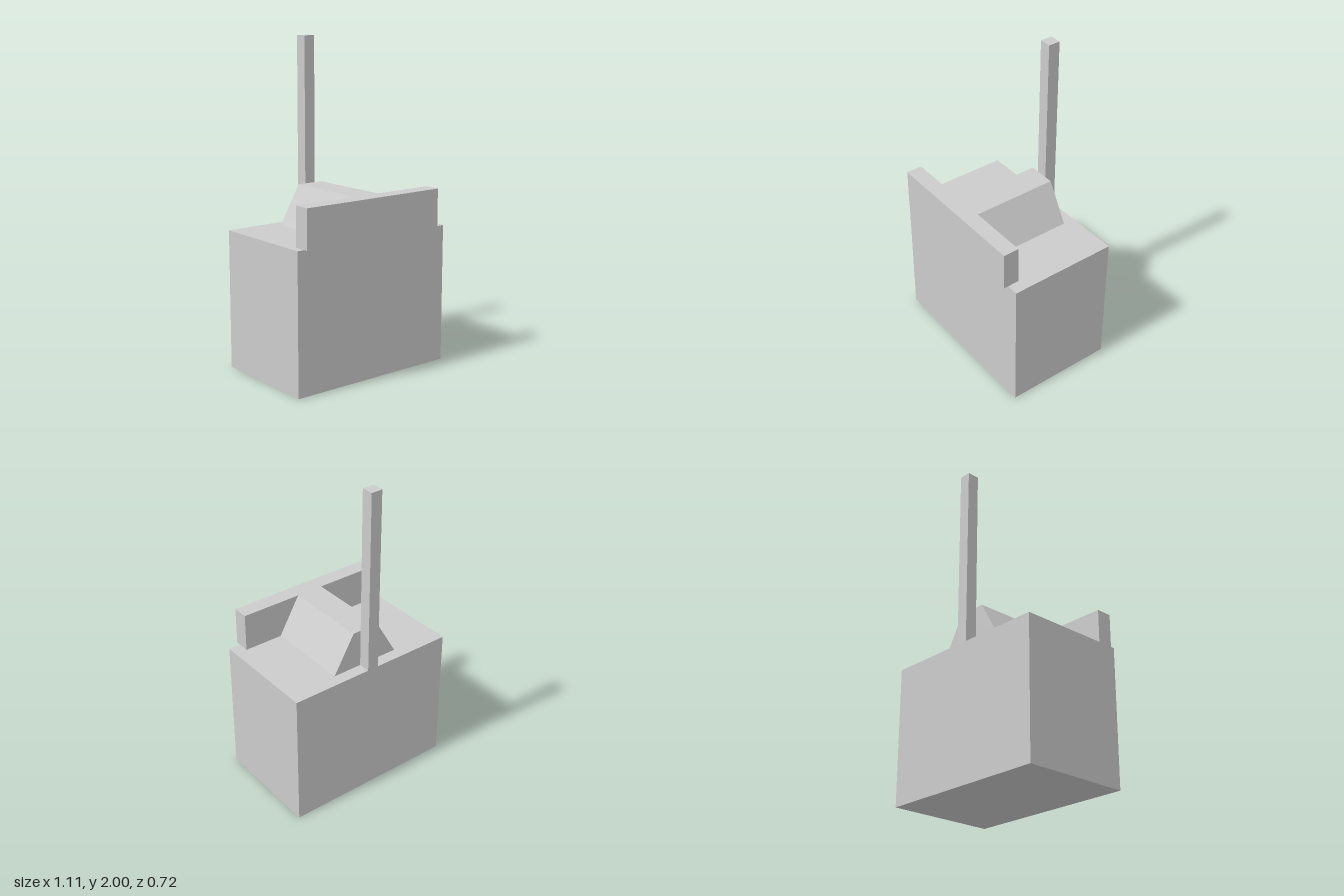
import * as THREE from 'three';

export function createModel() {
  const model = new THREE.Group();
  const material = new THREE.MeshStandardMaterial({ color: 0xcccccc, flatShading: true });

  const add = (name, geometry) => {
    const mesh = new THREE.Mesh(geometry, material);
    mesh.name = name;
    model.add(mesh);
    return mesh;
  };
  // Box given by its limits on each axis
  const block = (name, [x0, x1], [y0, y1], [z0, z1]) =>
    add(name, new THREE.BoxGeometry(x1 - x0, y1 - y0, z1 - z0))
      .position.set((x0 + x1) / 2, (y0 + y1) / 2, (z0 + z1) / 2);

  const deck = 0.857, ridgeTop = 1.096;
  const ridgeBack = -0.285, boardBack = 0.257;

  block('body', [-0.553, 0.553], [0, deck], [-0.36, 0.33]);
  block('frontBoard', [-0.508, 0.477], [deck, ridgeTop], [boardBack, 0.358]);
  block('pole', [-0.037, 0.036], [deck, 2], [-0.36, ridgeBack]);

  // Ridge with sloping sides, running from the pole to the front board
  const section = new THREE.Shape([
    new THREE.Vector2(-0.226, deck),
    new THREE.Vector2(0.226, deck),
    new THREE.Vector2(0.088, ridgeTop),
    new THREE.Vector2(-0.088, ridgeTop),
  ]);
  add('ridge', new THREE.ExtrudeGeometry(section, { depth: boardBack - ridgeBack, bevelEnabled: false }))
    .position.z = ridgeBack;

  return model;
}
